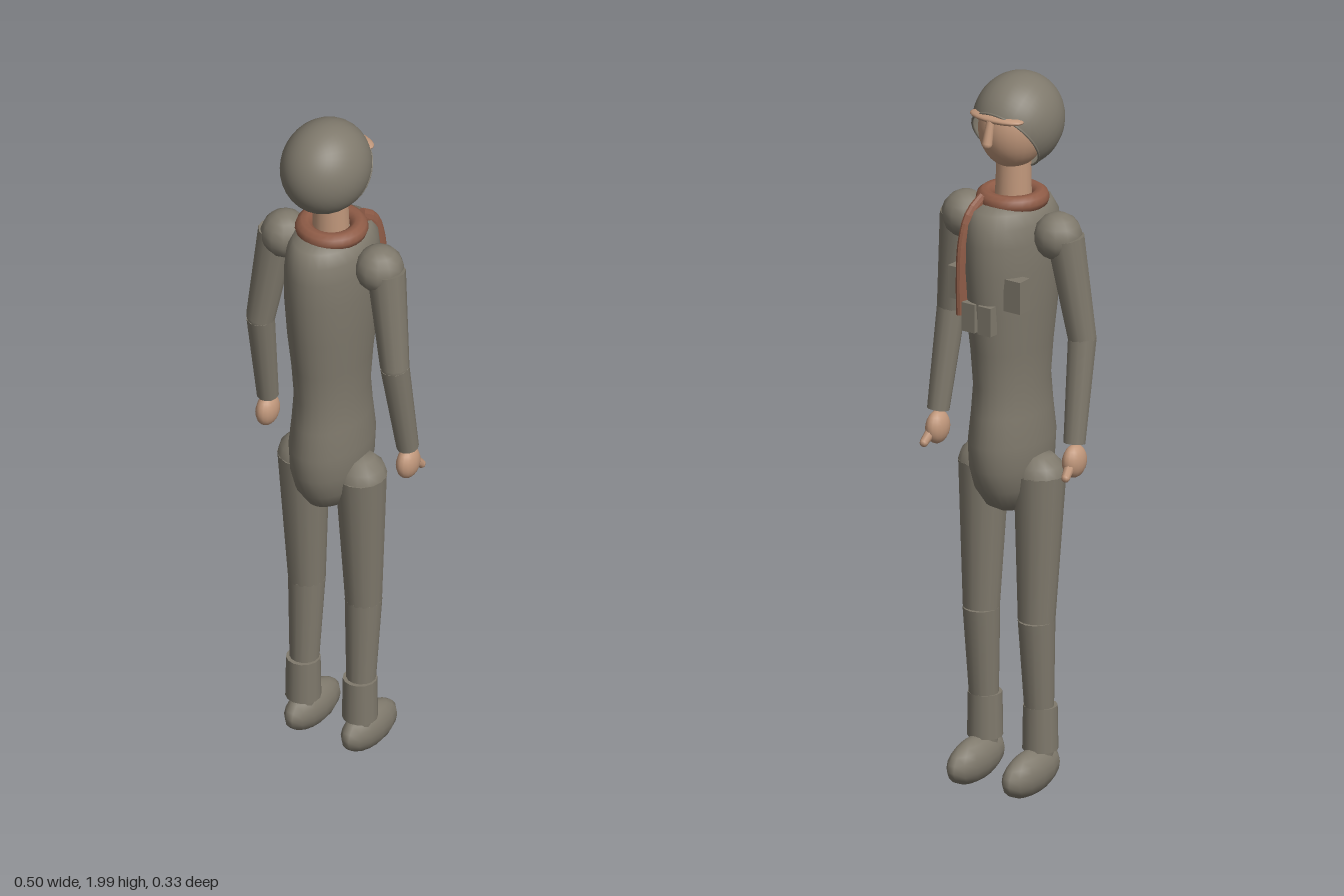
import * as THREE from 'three';

export function createModel() {
  const root = new THREE.Group();
  const cloth = new THREE.MeshStandardMaterial({ color: 0x7f796c, side: THREE.DoubleSide });
  cloth.name = 'drab cloth';
  const skin = new THREE.MeshStandardMaterial({ color: 0xc0977b });
  skin.name = 'skin';
  const scarf = new THREE.MeshStandardMaterial({ color: 0x8f5c47 });
  scarf.name = 'brown scarf';

  const V = (x, y, z) => new THREE.Vector3(x, y, z);
  const add = (name, geo, mat, pos = [0, 0, 0], parent = root) => {
    const m = new THREE.Mesh(geo, mat);
    m.name = name;
    m.position.set(...pos);
    parent.add(m);
    return m;
  };
  const ball = (name, mat, pos, r, seg = 20, parent = root) => {
    const m = add(name, new THREE.SphereGeometry(1, seg, Math.ceil(seg * 0.7)), mat, pos, parent);
    m.scale.set(...r);
    return m;
  };
  // tapered cylinder running from a (radius ra) to b (radius rb)
  const limb = (name, mat, a, b, ra, rb, parent = root, seg = 12) => {
    const d = b.clone().sub(a);
    const m = add(name, new THREE.CylinderGeometry(rb, ra, d.length(), seg), mat,
      a.clone().add(b).multiplyScalar(0.5).toArray(), parent);
    m.quaternion.setFromUnitVectors(V(0, 1, 0), d.normalize());
    return m;
  };
  const lathe = (pts, seg) =>
    new THREE.LatheGeometry(pts.map(([r, y]) => new THREE.Vector2(r, y)), seg);

  // torso, deeper than it is wide
  const torso = add('torso', lathe([
    [0, 0.78], [0.03, 0.787], [0.06, 0.81], [0.085, 0.86], [0.097, 0.92], [0.1, 0.99],
    [0.093, 1.07], [0.088, 1.15], [0.094, 1.25], [0.104, 1.36], [0.111, 1.48],
    [0.11, 1.56], [0.105, 1.61], [0.09, 1.645], [0.06, 1.66], [0, 1.665],
  ], 28), cloth);
  torso.scale.z = 1.46;

  // neck and head, the face looking towards -z
  limb('neck', skin, V(0, 1.63, 0.005), V(0, 1.82, 0.01), 0.05, 0.045, root, 18);
  ball('head', skin, [0, 1.86, 0.005], [0.09, 0.115, 0.1], 24);
  ball('brow', skin, [0, 1.903, -0.068], [0.085, 0.014, 0.038], 18);
  limb('nose', skin, V(0, 1.9, -0.097), V(0, 1.84, -0.113), 0.011, 0.014);
  ball('noseTip', skin, [0, 1.84, -0.113], [0.014, 0.014, 0.014], 10);

  // helmet: an open shell tipped back off the face
  const helmet = new THREE.Group();
  helmet.name = 'helmet';
  helmet.position.set(0, 1.87, 0.03);
  helmet.scale.set(0.117, 0.13, 0.134);
  root.add(helmet);
  const cut = THREE.MathUtils.degToRad(123);
  const shell = add('helmetShell',
    new THREE.SphereGeometry(1, 32, 20, 0, Math.PI * 2, 0, cut), cloth, [0, 0, 0], helmet);
  shell.rotation.x = THREE.MathUtils.degToRad(55);
  const rim = add('helmetRim',
    new THREE.TorusGeometry(Math.sin(cut), 0.025, 6, 32), cloth, [0, Math.cos(cut), 0], shell);
  rim.rotation.x = Math.PI / 2;

  // scarf ring and the flat tail hanging down the chest
  const ring = add('scarfRing', new THREE.TorusGeometry(0.073, 0.025, 10, 28), scarf, [0, 1.66, 0.003]);
  ring.rotation.x = Math.PI / 2;
  const tailPath = new THREE.CatmullRomCurve3([
    V(0.042, 1.665, -0.07), V(0.05, 1.63, -0.115), V(0.056, 1.56, -0.137),
    V(0.058, 1.46, -0.142), V(0.058, 1.36, -0.14),
  ]);
  const tailShape = new THREE.Shape();
  tailShape.absellipse(0, 0, 0.014, 0.024, 0, Math.PI * 2);
  add('scarfTail', new THREE.ExtrudeGeometry(tailShape,
    { steps: 16, extrudePath: tailPath, curveSegments: 6 }), scarf);

  for (const s of [1, -1]) {
    const side = s > 0 ? 'left' : 'right';

    // arm
    const arm = new THREE.Group();
    arm.name = side + 'Arm';
    root.add(arm);
    const elbow = V(s * 0.213, 1.3, 0.022), wrist = V(s * 0.222, 1.02, -0.026);
    ball('shoulder', cloth, [s * 0.15, 1.58, 0], [0.066, 0.066, 0.067], 12, arm);
    limb('upperArm', cloth, V(s * 0.173, 1.58, 0.002), elbow, 0.052, 0.039, arm);
    ball('elbow', cloth, elbow.toArray(), [0.038, 0.038, 0.038], 12, arm);
    limb('forearm', cloth, elbow, wrist, 0.039, 0.03, arm);
    ball('hand', skin, [s * 0.223, 0.97, -0.027], [0.028, 0.046, 0.042], 16, arm);
    limb('thumb', skin, V(s * 0.226, 0.965, -0.05), V(s * 0.231, 0.938, -0.078), 0.015, 0.012, arm, 8);
    ball('thumbTip', skin, [s * 0.231, 0.938, -0.078], [0.012, 0.012, 0.012], 8, arm);

    // leg
    const leg = new THREE.Group();
    leg.name = side + 'Leg';
    root.add(leg);
    const knee = V(s * 0.09, 0.49, -0.014);
    limb('thigh', cloth, V(s * 0.091, 0.9, 0), knee, 0.07, 0.05, leg, 14);
    add('hip', lathe([[0.07, 0.9], [0.062, 0.927], [0.037, 0.953], [0, 0.957]], 14),
      cloth, [s * 0.091, 0, 0], leg);
    limb('shin', cloth, knee, V(s * 0.09, 0.1, 0.004), 0.05, 0.034, leg, 14);
    limb('bootCuff', cloth, V(s * 0.09, 0.122, 0.003), V(s * 0.09, 0.245, 0.003), 0.048, 0.046, leg, 14);
    const shoe = ball('shoe', cloth, [s * 0.09, 0.068, -0.04], [0.047, 0.062, 0.117], 14, leg);
    shoe.rotation.x = -0.09;

    // chest pouches
    add(side + 'ChestPouch', new THREE.BoxGeometry(0.053, 0.09, 0.045), cloth, [s * 0.091, 1.433, -0.105]);
    add(side + 'BeltPouch', new THREE.BoxGeometry(0.042, 0.08, 0.03), cloth, [s * 0.026, 1.36, -0.148]);
  }

  return root;
}
